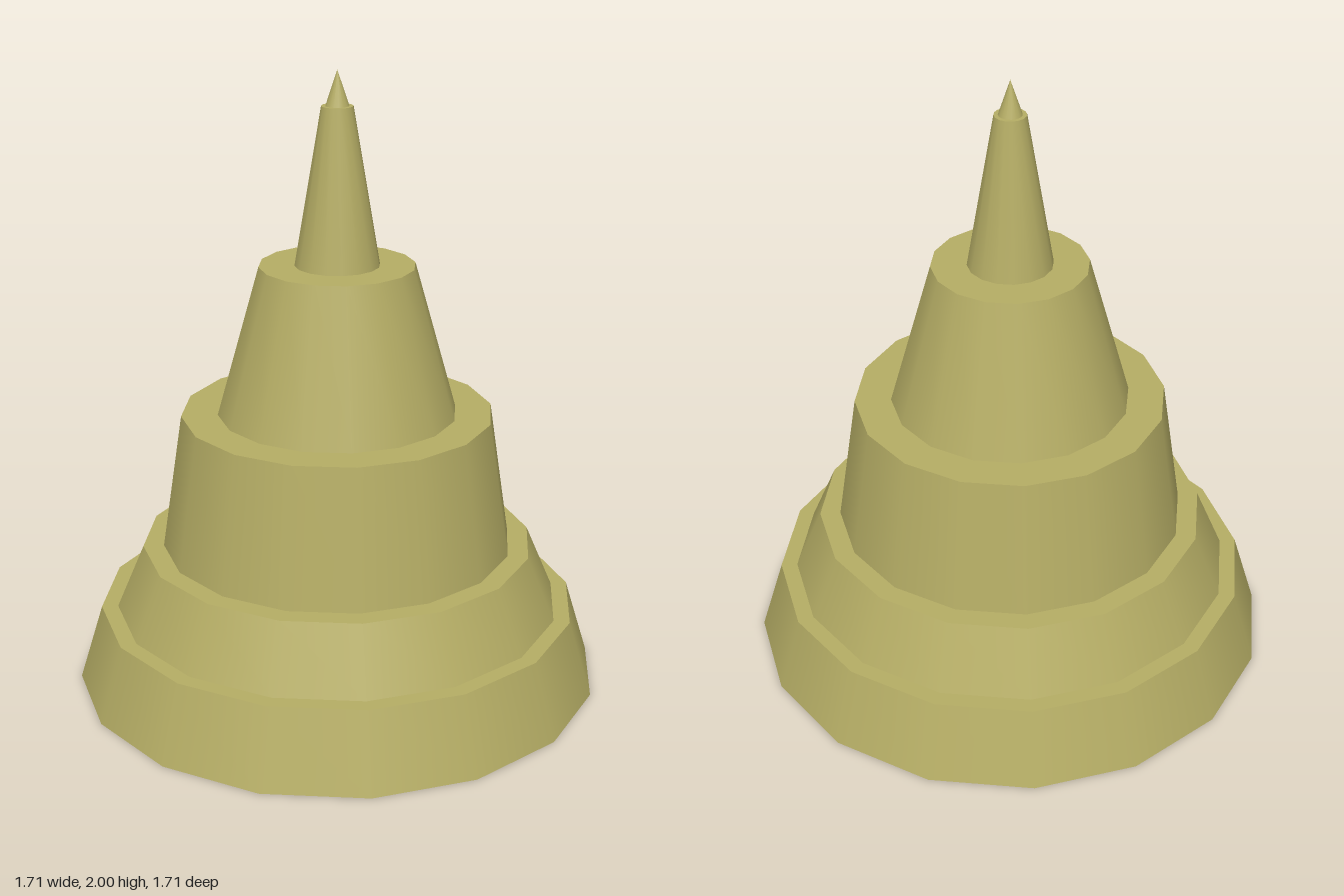
import * as THREE from 'three';

const SIDES = 16;
const material = new THREE.MeshStandardMaterial({ color: 0xb5ad65, side: THREE.DoubleSide });

// Tiers from the ground up: [bottom radius, top radius, bottom y, top y]
const TIERS = [
  ['baseTier', 0.857, 0.78, 0, 0.25],
  ['lowerTier', 0.727, 0.637, 0.25, 0.46],
  ['middleTier', 0.57, 0.502, 0.46, 0.905],
  ['upperTier', 0.385, 0.248, 0.905, 1.39],
  ['spire', 0.135, 0.05, 1.39, 1.89],
  ['tip', 0.037, 0, 1.89, 2],
];

// One 16-sided ring surface between two profile points
function ring(name, r0, y0, r1, y1) {
  const profile = [new THREE.Vector2(r0, y0), new THREE.Vector2(r1, y1)];
  const mesh = new THREE.Mesh(new THREE.LatheGeometry(profile, SIDES), material);
  mesh.name = name;
  return mesh;
}

export function createModel() {
  const model = new THREE.Group();
  model.name = 'steppedSpire';

  TIERS.forEach(([name, bottom, top, y0, y1], i) => {
    const tier = new THREE.Group();
    tier.name = name;
    // Smooth sloping wall; the hollow shell stays open underneath
    tier.add(ring(name + 'Wall', bottom, y0, top, y1));
    // Flat ledge reaching in to the foot of the next tier
    const next = TIERS[i + 1];
    if (next) tier.add(ring(name + 'Ledge', top, y1, next[1], y1));
    model.add(tier);
  });

  return model;
}
